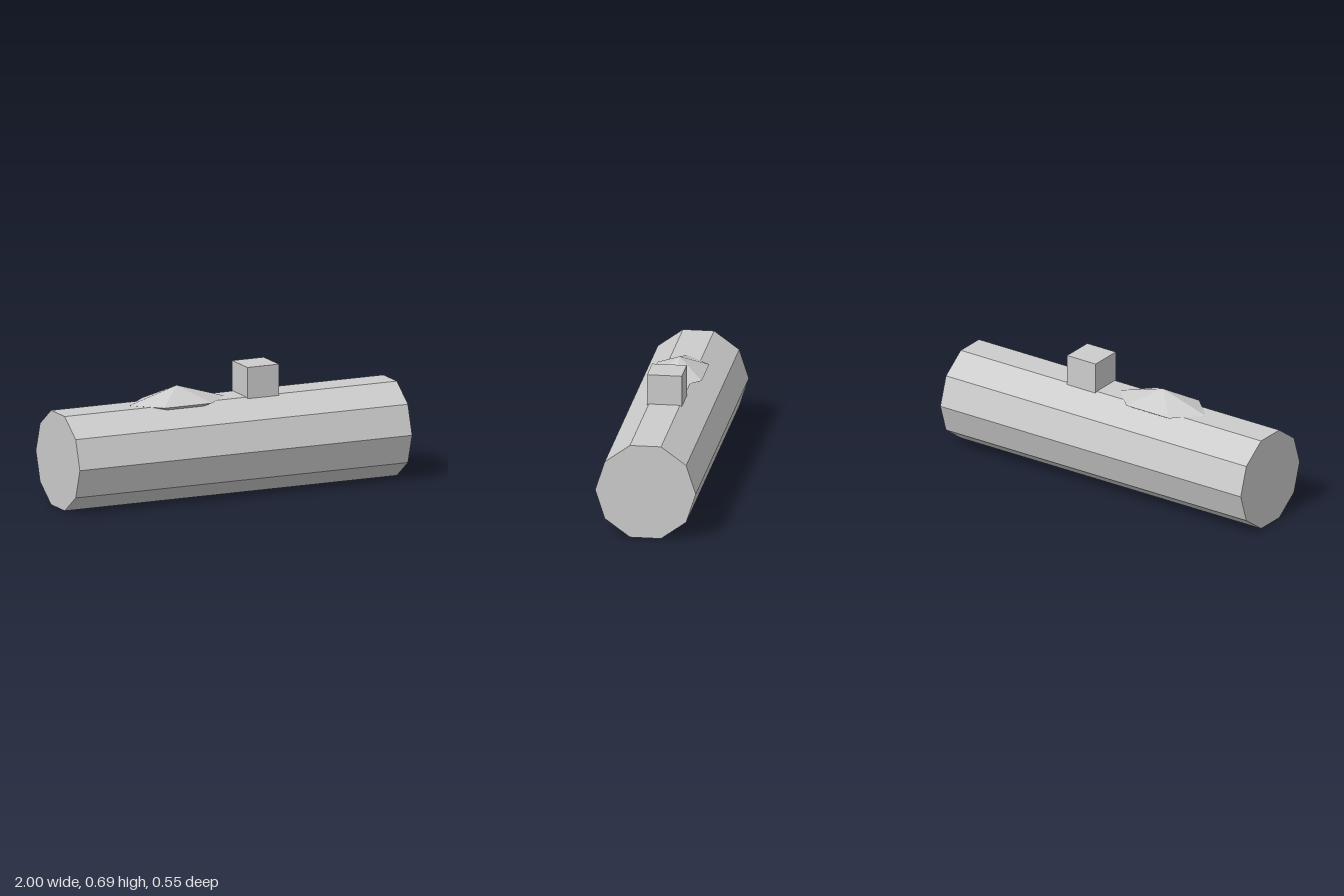
import * as THREE from 'three';

export function createModel() {
  const model = new THREE.Group();
  const grey = new THREE.MeshStandardMaterial({ color: 0xcccccc, flatShading: true });
  grey.name = 'light grey';

  const add = (name, geometry, x, y) => {
    const mesh = new THREE.Mesh(geometry, grey);
    mesh.name = name;
    mesh.position.set(x, y, 0);
    model.add(mesh);
  };

  // Ten-sided body lying along x, resting on a flat facet
  const radius = 0.276;
  const centreY = radius * Math.sin(Math.PI * 0.4);
  add('body', new THREE.CylinderGeometry(radius, radius, 2, 10).rotateZ(Math.PI / 2), 0, centreY);

  // Flattened six-sided double pyramid, half sunk into the top
  add('topFacetedCap', new THREE.SphereGeometry(1, 6, 2).scale(0.285, 0.086, 0.164), -0.285, 0.526);

  // Cube block, its base sunk into the top
  add('topBlock', new THREE.BoxGeometry(0.19, 0.19, 0.19), 0.19, 0.597);

  return model;
}
